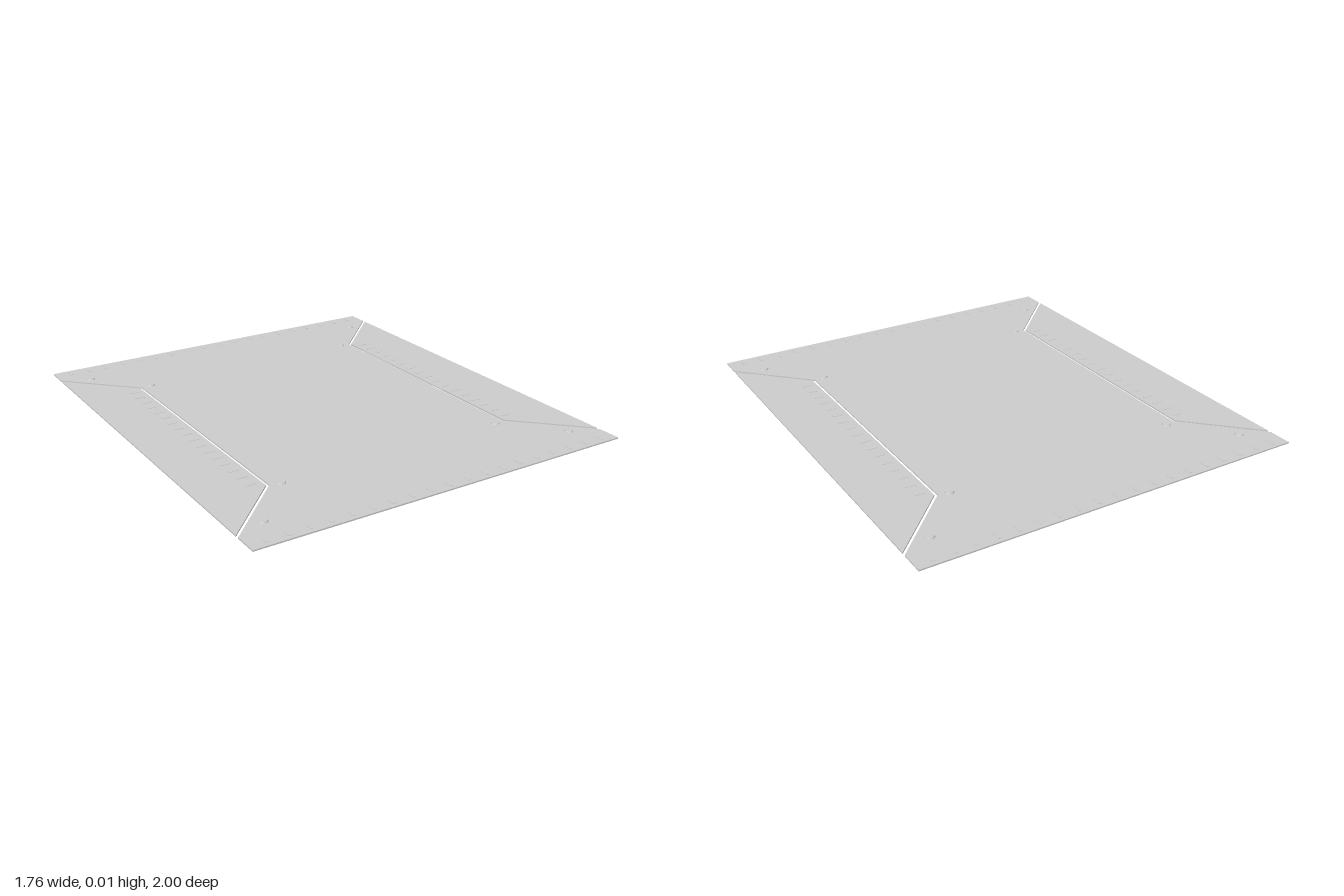
import * as THREE from 'three';

const HALF_X = 0.88, HALF_Z = 1, THICK = 0.006;

export function createModel() {
  const group = new THREE.Group();
  const material = new THREE.MeshStandardMaterial({ color: 0xcccccc });

  function add(name, geometry, x = 0, y = 0, z = 0) {
    const mesh = new THREE.Mesh(geometry, material);
    mesh.name = name;
    mesh.position.set(x, y, z);
    group.add(mesh);
    return mesh;
  }

  // Flat panel cut from an outline of [x, z] corners, lying on the ground
  function panel(name, corners) {
    const shape = new THREE.Shape(corners.map(([x, z]) => new THREE.Vector2(x, -z)));
    const geometry = new THREE.ExtrudeGeometry(shape, { depth: THICK, bevelEnabled: false });
    geometry.rotateX(-Math.PI / 2);
    add(name, geometry);
  }

  // Main panel, waisted between the two cut lines
  panel('mainPanel', [
    [-HALF_X, -HALF_Z], [HALF_X, -HALF_Z], [HALF_X, -0.8955], [0.587, -0.6025],
    [0.587, 0.6025], [HALF_X, 0.8955], [HALF_X, HALF_Z], [-HALF_X, HALF_Z],
    [-HALF_X, 0.8955], [-0.587, 0.6025], [-0.587, -0.6025], [-HALF_X, -0.8955],
  ]);

  // Trapezoid side panels, separated from the main panel by a narrow gap
  for (const s of [1, -1]) {
    panel(s > 0 ? 'leftPanel' : 'rightPanel', [
      [s * 0.599, -0.5975], [s * HALF_X, -0.8785], [s * HALF_X, 0.8785], [s * 0.599, 0.5975],
    ]);
  }

  // Rivet heads beside the diagonal cuts
  const rivet = new THREE.CylinderGeometry(0.017, 0.02, 0.006, 20);
  for (const sx of [1, -1]) {
    for (const sz of [1, -1]) {
      add('cornerRivet', rivet, sx * 0.75, THICK + 0.003, sz * 0.84);
      add('innerRivet', rivet, sx * 0.54, THICK + 0.003, sz * 0.61);
    }
  }

  // Very low raised marks along the end edges and the long cuts
  const endMark = new THREE.BoxGeometry(0.014, 0.0015, 0.04);
  const sideMark = new THREE.BoxGeometry(0.045, 0.0015, 0.014);
  const markY = THICK + 0.0005;
  for (const s of [1, -1]) {
    for (let i = 0; i < 19; i++) add('endMark', endMark, -0.81 + i * 0.09, markY, s * 0.96);
    for (let i = 0; i < 17; i++) add('sideMark', sideMark, s * 0.645, markY, -0.56 + i * 0.07);
  }

  return group;
}
